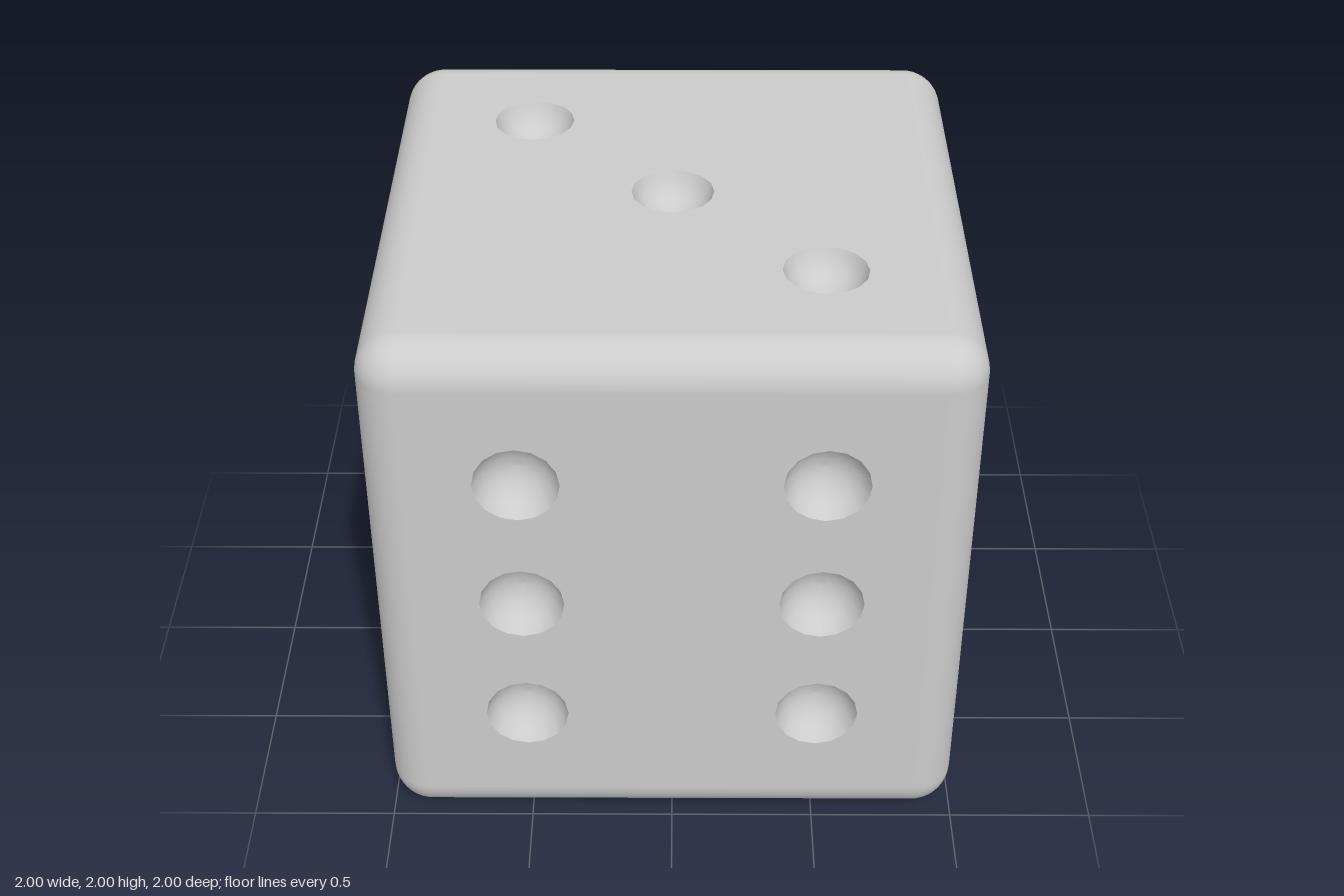
import * as THREE from 'three';
import { RoundedBoxGeometry } from 'three/addons/geometries/RoundedBoxGeometry.js';

const EDGE = 0.14;        // radius of the rounded edges
const PIP_RADIUS = 0.142;
const PIP_DEPTH = 0.11;
const PIP_SIDES = 16;
const S = 0.5;            // pip spacing

const material = new THREE.MeshStandardMaterial({ color: 0xcccccc });

// Rounded edges and corners only: a rounded box without its six flat panels
function roundedFrame() {
  const box = new RoundedBoxGeometry(2, 2, 2, 6, EDGE);
  const pos = box.attributes.position, nor = box.attributes.normal;
  const isFlat = (i) =>
    Math.max(Math.abs(nor.getX(i)), Math.abs(nor.getY(i)), Math.abs(nor.getZ(i))) > 0.9999;
  const points = [], normals = [];
  for (let i = 0; i < pos.count; i += 3) {
    if (isFlat(i) && isFlat(i + 1) && isFlat(i + 2)) continue;
    for (let k = i; k < i + 3; k++) {
      points.push(pos.getX(k), pos.getY(k), pos.getZ(k));
      normals.push(nor.getX(k), nor.getY(k), nor.getZ(k));
    }
  }
  const frame = new THREE.BufferGeometry();
  frame.setAttribute('position', new THREE.Float32BufferAttribute(points, 3));
  frame.setAttribute('normal', new THREE.Float32BufferAttribute(normals, 3));
  return frame;
}

// Flat panel pierced by a polygonal hole for every pip
function panelGeometry(pips) {
  const h = 1 - EDGE;
  const shape = new THREE.Shape([
    new THREE.Vector2(-h, -h), new THREE.Vector2(h, -h),
    new THREE.Vector2(h, h), new THREE.Vector2(-h, h),
  ]);
  for (const [x, y] of pips) {
    const ring = [];
    for (let i = 0; i < PIP_SIDES; i++) {
      const a = -i * 2 * Math.PI / PIP_SIDES;
      ring.push(new THREE.Vector2(x + PIP_RADIUS * Math.cos(a), y + PIP_RADIUS * Math.sin(a)));
    }
    shape.holes.push(new THREE.Path(ring));
  }
  return new THREE.ShapeGeometry(shape);
}

// Spherical bowl, rim at z = 0, hollow side towards +z
function bowlGeometry() {
  const R = (PIP_RADIUS ** 2 + PIP_DEPTH ** 2) / (2 * PIP_DEPTH);
  const span = Math.acos((R - PIP_DEPTH) / R);
  const profile = [];
  for (let i = 6; i >= 0; i--) {
    const a = span * i / 6;
    profile.push(new THREE.Vector2(R * Math.sin(a), R - PIP_DEPTH - R * Math.cos(a)));
  }
  return new THREE.LatheGeometry(profile, PIP_SIDES).rotateX(Math.PI / 2);
}

export function createModel() {
  const model = new THREE.Group();
  model.name = 'die';
  const add = (parent, geometry, name) => {
    const mesh = new THREE.Mesh(geometry, material);
    mesh.name = name;
    parent.add(mesh);
    return mesh;
  };

  add(model, roundedFrame(), 'roundedEdges').position.y = 1;

  // Each face: name, rotation about x and y, pip positions
  const Q = Math.PI / 2;
  const corners = [[-S, -S], [S, -S], [S, S], [-S, S]];
  const faces = [
    ['frontFace', 0, 0, [...corners, [-S, 0], [S, 0]]],
    ['backFace', 0, 2 * Q, [[0, 0]]],
    ['leftFace', 0, Q, [...corners, [0, 0]]],
    ['rightFace', 0, -Q, [[S, S], [-S, -S]]],
    ['topFace', -Q, 0, [[-S, S], [0, 0], [S, -S]]],
    ['bottomFace', Q, 0, corners],
  ];
  const bowl = bowlGeometry();
  for (const [name, rx, ry, pips] of faces) {
    const face = new THREE.Group();
    face.name = name;
    face.position.y = 1;
    face.rotation.set(rx, ry, 0);
    add(face, panelGeometry(pips), 'panel').position.z = 1;
    for (const [x, y] of pips) add(face, bowl, 'pip').position.set(x, y, 1);
    model.add(face);
  }
  return model;
}
